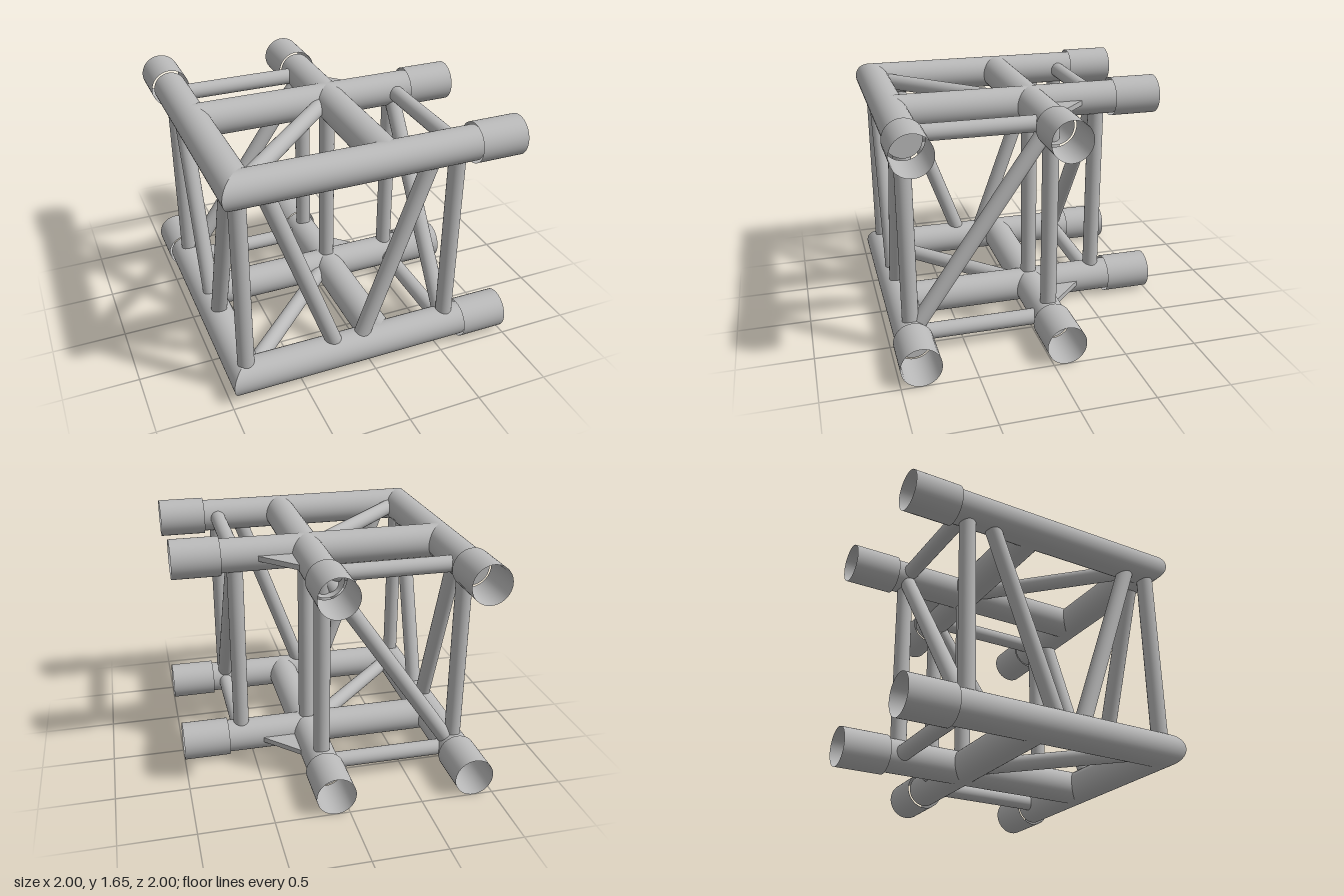
import * as THREE from 'three';

const LOW = 0.137, HIGH = 1.522;      // heights of the two chord levels
const EDGE = 0.865;                   // outer chord offset from the centre
const MID = 0.09;                     // inner chord offset
const POST = 0.575;                   // position of the end posts
const R_CHORD = 0.115, R_BRACE = 0.055, R_SLEEVE = 0.133;

export function createModel() {
  const model = new THREE.Group();
  model.name = 'cornerTruss';
  const metal = new THREE.MeshStandardMaterial({ color: 0xb9b9b9, side: THREE.DoubleSide });
  metal.name = 'brushedAluminium';

  function add(name, geometry) {
    const mesh = new THREE.Mesh(geometry, metal);
    mesh.name = name;
    model.add(mesh);
    return mesh;
  }

  // Round bar between two points
  function bar(name, a, b, radius, open = false, sides = 32) {
    const from = new THREE.Vector3(...a), to = new THREE.Vector3(...b);
    const dir = to.clone().sub(from);
    const geo = new THREE.CylinderGeometry(radius, radius, dir.length(), sides, 1, open);
    geo.applyQuaternion(new THREE.Quaternion().setFromUnitVectors(
      new THREE.Vector3(0, 1, 0), dir.normalize()));
    geo.translate(...from.add(to).multiplyScalar(0.5).toArray());
    return add(name, geo);
  }

  // The two wings mirror each other across the diagonal plane x = -z
  const wings = [
    { side: 'front', at: (x, y, z) => [x, y, z] },
    { side: 'side', at: (x, y, z) => [-z, y, -x] },
  ];

  for (const { side, at } of wings) {
    for (const y of [LOW, HIGH]) {
      // Outer chord, mitred at the corner
      const chord = bar(side + 'OuterChord', at(-EDGE, y, EDGE), at(0.69, y, EDGE), R_CHORD, false, 48);
      const pos = chord.geometry.attributes.position;
      for (let i = 0; i < pos.count; i++) {
        const x = pos.getX(i), z = pos.getZ(i);
        if (side === 'front' && x < -0.5) pos.setX(i, -z);
        if (side === 'side' && z > 0.5) pos.setZ(i, -x);
      }

      // Inner chord, open at its outer end
      bar(side + 'InnerChord', at(-EDGE, y, -MID), at(0.69, y, -MID), R_CHORD, true, 48);

      // Open coupling sleeves
      for (const z of [EDGE, -MID])
        bar(side + 'Sleeve', at(0.675, y, z), at(1, y, z), R_SLEEVE, true, 48);

      // Horizontal tie between the outer and inner chord
      bar(side + 'Tie', at(POST, y, EDGE), at(POST, y, -MID), R_BRACE);
    }

    // End posts and the diagonal joining them
    bar(side + 'OuterPost', at(POST, LOW, EDGE), at(POST, HIGH, EDGE), R_BRACE);
    bar(side + 'InnerPost', at(POST, LOW, -MID), at(POST, HIGH, -MID), R_BRACE);
    bar(side + 'EndDiagonal', at(POST, LOW, EDGE), at(POST, HIGH, -MID), R_BRACE);

    // V-shaped bracing on the outer face
    bar(side + 'BraceA', at(-0.72, HIGH, EDGE), at(-0.22, LOW, EDGE), R_BRACE);
    bar(side + 'BraceB', at(0.42, HIGH, EDGE), at(-0.08, LOW, EDGE), R_BRACE);
  }

  // Posts on the mirror plane
  bar('cornerPost', [-EDGE, LOW, EDGE], [-EDGE, HIGH, EDGE], R_BRACE);
  bar('centrePost', [MID, LOW, -MID], [MID, HIGH, -MID], R_BRACE);

  // Plan diagonals and triangular gusset plates at each level
  const triangle = new THREE.Shape([
    new THREE.Vector2(0.19, 0.19),
    new THREE.Vector2(0.445, 0.19),
    new THREE.Vector2(0.19, 0.445),
  ]);
  for (const y of [LOW, HIGH]) {
    bar('planDiagonal', [-EDGE, y, EDGE], [MID, y, -MID], R_BRACE);
    const plate = new THREE.ExtrudeGeometry(triangle, { depth: 0.036, bevelEnabled: false });
    plate.rotateX(-Math.PI / 2);
    plate.translate(0, y - 0.018, 0);
    add('gussetPlate', plate);
  }

  return model;
}
